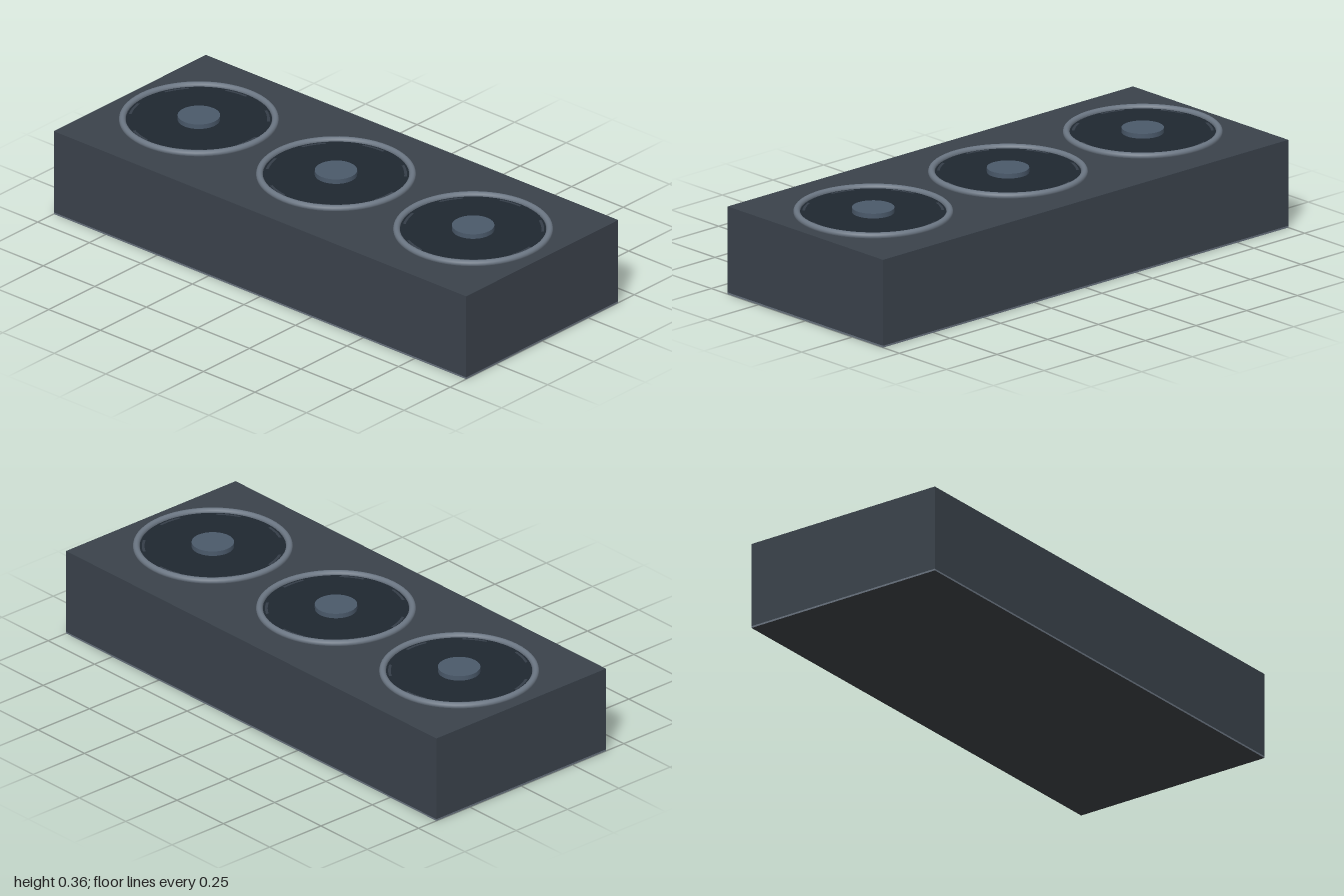
import * as THREE from 'three';

const mat = (color) => new THREE.MeshStandardMaterial({ color });

function add(parent, name, geometry, material, x = 0, y = 0, z = 0) {
  const mesh = new THREE.Mesh(geometry, material);
  mesh.name = name;
  mesh.position.set(x, y, z);
  parent.add(mesh);
  return mesh;
}

export function createModel() {
  const model = new THREE.Group();
  model.name = 'tripleFanUnit';

  const bodyMat = mat(0x3a424b);
  const baseMat = mat(0x68727e);
  const undersideMat = mat(0x3a3d41);
  const wellMat = mat(0x1f2730);
  const bladeMat = mat(0x343d47);
  const ringMat = mat(0x6b7683);
  const hubMat = mat(0x4a596a);

  const W = 2, D = 0.826, top = 0.335, trim = 0.007;

  // Housing with a thin, lighter trim strip around the foot
  add(model, 'housing', new THREE.BoxGeometry(W, top - trim, D), bodyMat, 0, (top + trim) / 2);
  const sides = [baseMat, baseMat, baseMat, undersideMat, baseMat, baseMat];
  add(model, 'baseTrim', new THREE.BoxGeometry(W, trim, D), sides, 0, trim / 2);

  // Shared fan geometries
  const ringGeo = new THREE.TorusGeometry(0.277, 0.0125, 12, 64).rotateX(Math.PI / 2);
  const wellGeo = new THREE.CylinderGeometry(0.266, 0.266, 0.006, 64);
  const hubGeo = new THREE.CylinderGeometry(0.077, 0.077, 0.022, 40);
  const tipGeo = new THREE.RingGeometry(0.247, 0.257, 8, 1, 0, 0.36).rotateX(-Math.PI / 2);

  // Three fans in a row
  for (const x of [-0.665, 0, 0.665]) {
    const fan = new THREE.Group();
    fan.name = 'fan';
    fan.position.set(x, top, 0);
    add(fan, 'fanWell', wellGeo, wellMat, 0, 0.002);
    add(fan, 'rimRing', ringGeo, ringMat, 0, 0.0065);
    add(fan, 'hub', hubGeo, hubMat, 0, 0.012);
    // Blade tips showing just inside the rim
    for (let i = 0; i < 7; i++) {
      const tip = add(fan, 'bladeTip', tipGeo, bladeMat, 0, 0.0065);
      tip.rotation.y = 1.55 + (i * Math.PI * 2) / 7;
    }
    model.add(fan);
  }

  return model;
}
